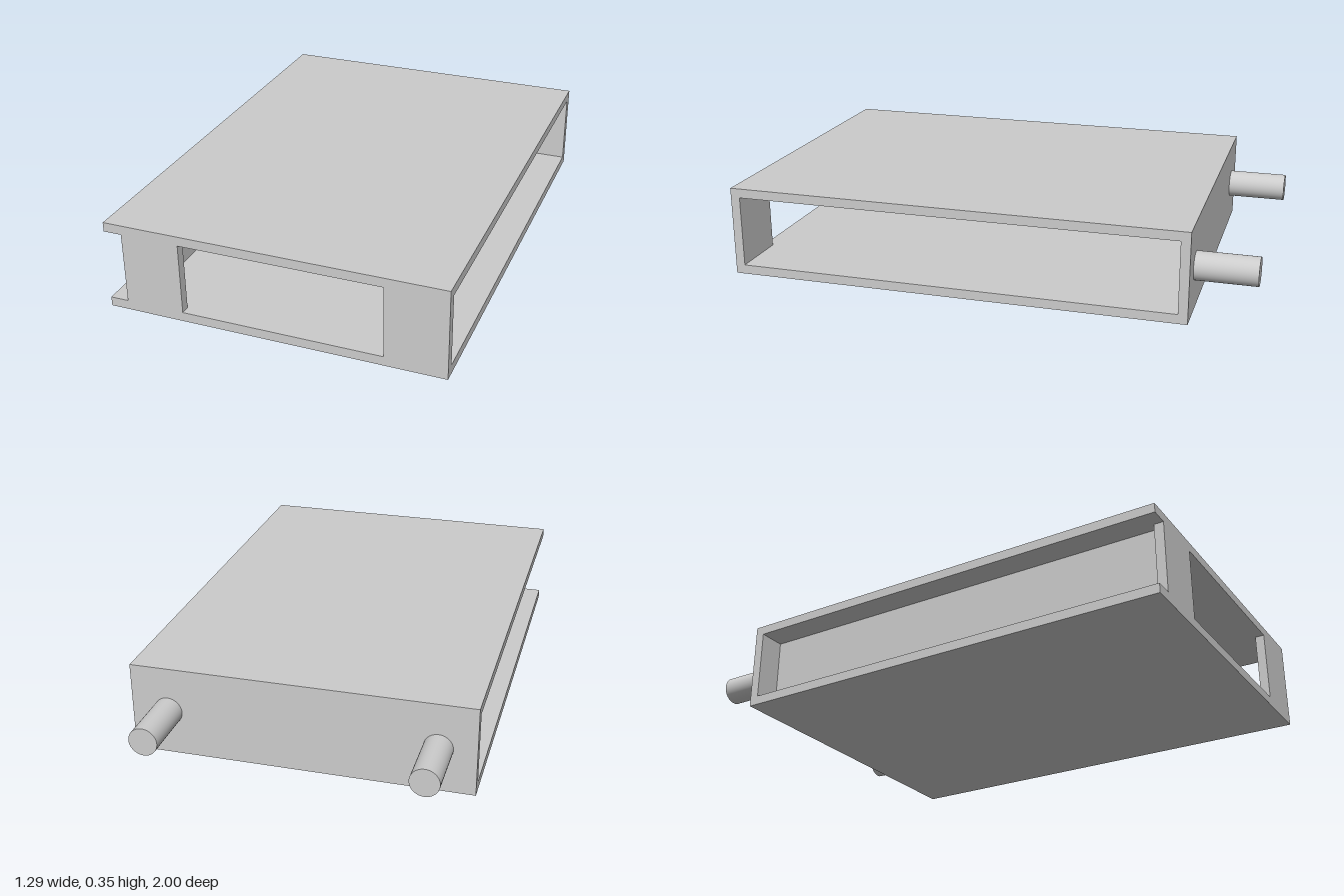
import * as THREE from 'three';

export function createModel() {
  const model = new THREE.Group();
  const material = new THREE.MeshStandardMaterial({ color: 0xcccccc });
  const W = 0.645, H = 0.347, T = 0.036, BACK = -0.77, FRONT = 1;

  const add = (name, geometry) => {
    const mesh = new THREE.Mesh(geometry, material);
    mesh.name = name;
    model.add(mesh);
    return mesh;
  };

  // Box given by its minimum and maximum corners
  const slab = (name, [x0, y0, z0], [x1, y1, z1]) =>
    add(name, new THREE.BoxGeometry(x1 - x0, y1 - y0, z1 - z0))
      .position.set((x0 + x1) / 2, (y0 + y1) / 2, (z0 + z1) / 2);

  // Floor, roof and full-width back
  slab('floorPlate', [-W, 0, BACK], [W, T, FRONT]);
  slab('roofPlate', [-W, H - T, BACK], [W, H, FRONT]);
  slab('backPanel', [-W, T, BACK], [W, H - T, BACK + T]);

  // Recessed wall on one side; the other side stays open
  slab('recessedSideWall', [-0.54, T, BACK + T], [-0.515, H - T, FRONT - T]);

  // Front panel: two cheeks around a window as tall as the cavity
  slab('frontCheekRight', [-0.575, T, FRONT - T], [-0.35, H - T, FRONT]);
  slab('frontCheekLeft', [0.415, T, FRONT - T], [W, H - T, FRONT]);

  // Pegs on the back
  for (const side of [-1, 1]) {
    const peg = add(side < 0 ? 'rightPeg' : 'leftPeg',
      new THREE.CylinderGeometry(0.054, 0.054, 1 + BACK, 48));
    peg.rotation.x = Math.PI / 2;
    peg.position.set(side * 0.505, H / 2, (BACK - 1) / 2);
  }

  return model;
}
